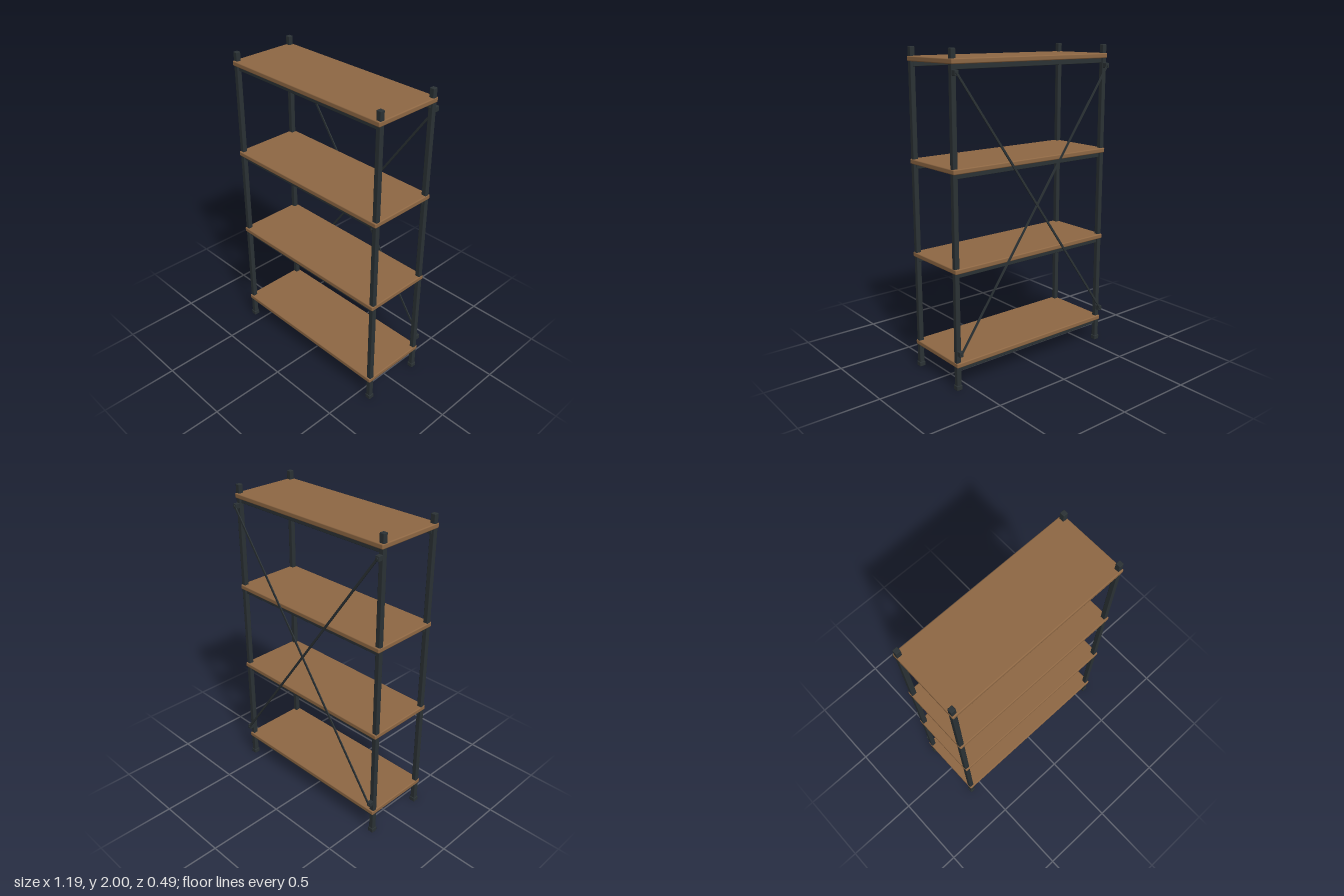
import * as THREE from 'three';
import { RoundedBoxGeometry } from 'three/addons/geometries/RoundedBoxGeometry.js';

const steel = new THREE.MeshStandardMaterial({ color: 0x2b3235 });
const wood = new THREE.MeshStandardMaterial({ color: 0x8f6844 });

const POST_X = 0.577;
const MID_Z = 0.013; // the frame sits slightly forward of the rear bracing
const POST_Z = 0.206; // post offset from MID_Z
const SHELF_Y = [0.162, 0.745, 1.327, 1.93];
const BRACE_Y = [0.24, 1.87];
const BRACE_Z = -0.235;

function add(parent, name, geometry, material, x, y, z) {
  const mesh = new THREE.Mesh(geometry, material);
  mesh.name = name;
  mesh.position.set(x, y, z);
  parent.add(mesh);
  return mesh;
}

// Box with softened edges
const softBox = (w, h, d, r) => new RoundedBoxGeometry(w, h, d, 2, r);

export function createModel() {
  const model = new THREE.Group();
  model.name = 'shelvingUnit';

  // Corner posts with wider feet
  for (const sx of [-1, 1]) {
    for (const sz of [-1, 1]) {
      const x = sx * POST_X, z = MID_Z + sz * POST_Z;
      add(model, 'post', softBox(0.031, 1.99, 0.031, 0.004), steel, x, 1.005, z);
      add(model, 'foot', softBox(0.039, 0.03, 0.039, 0.004), steel, x, 0.015, z);
    }
  }

  // Wooden shelves, each carried by a front and a rear rail
  for (const y of SHELF_Y) {
    add(model, 'shelf', softBox(1.19, 0.031, 0.46, 0.007), wood, 0, y, MID_Z);
    for (const sz of [-1, 1]) {
      add(model, 'shelfRail', softBox(2 * POST_X, 0.03, 0.023, 0.003), steel,
        0, y - 0.03, MID_Z + sz * 0.197);
    }
  }

  // Rear brackets and bolts holding the cross braces
  for (const sx of [-1, 1]) {
    for (const y of BRACE_Y) {
      add(model, 'braceBracket', softBox(0.026, 0.032, 0.034, 0.003), steel,
        sx * POST_X, y, -0.221);
      const bolt = add(model, 'braceBolt', new THREE.CylinderGeometry(0.008, 0.008, 0.012, 12),
        steel, sx * POST_X, y, -0.237);
      bolt.rotation.x = Math.PI / 2;
    }
  }

  // Diagonal cross braces
  const rise = BRACE_Y[1] - BRACE_Y[0], run = 2 * POST_X;
  for (const s of [-1, 1]) {
    const brace = add(model, 'crossBrace', new THREE.BoxGeometry(Math.hypot(run, rise), 0.013, 0.007),
      steel, 0, (BRACE_Y[0] + BRACE_Y[1]) / 2, BRACE_Z - s * 0.001);
    brace.rotation.z = s * Math.atan2(rise, run);
  }

  return model;
}
